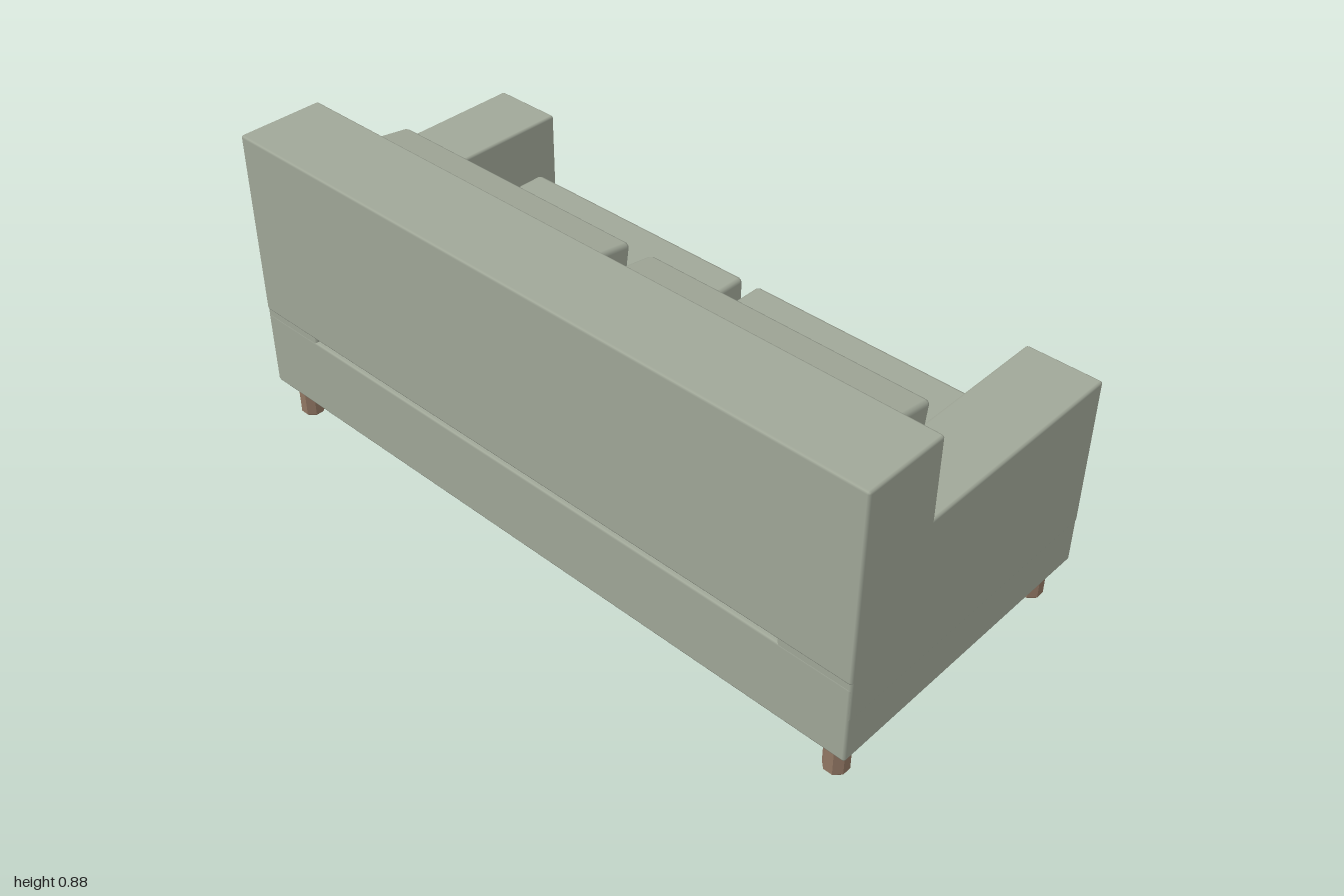
import * as THREE from 'three';
import { RoundedBoxGeometry } from 'three/addons/geometries/RoundedBoxGeometry.js';

export function createModel() {
  const sofa = new THREE.Group();
  sofa.name = 'sofa';

  const fabric = new THREE.MeshStandardMaterial({ color: 0xa0a798 });
  fabric.name = 'sage fabric';
  const wood = new THREE.MeshStandardMaterial({ color: 0x917763 });
  wood.name = 'brown wood';

  // Soft-edged box given by its min and max corners
  const block = (name, [x0, y0, z0], [x1, y1, z1], r = 0.007) => {
    const geo = new RoundedBoxGeometry(x1 - x0, y1 - y0, z1 - z0, 1, r);
    const mesh = new THREE.Mesh(geo, fabric);
    mesh.position.set((x0 + x1) / 2, (y0 + y1) / 2, (z0 + z1) / 2);
    mesh.name = name;
    sofa.add(mesh);
    return mesh;
  };

  // Frame: the seat opens towards -z, leaving a slit between base and backrest
  block('base', [-0.999, 0.11, -0.444], [0.999, 0.337, 0.444]);
  block('backrest', [-1, 0.349, 0.2], [1, 0.885, 0.445]);

  // Octagonal leg with chamfered ends
  const legProfile = [[0, 0], [0.026, 0], [0.033, 0.008], [0.033, 0.098], [0.026, 0.106], [0, 0.106]]
    .map(([x, y]) => new THREE.Vector2(x, y));
  const legGeo = new THREE.LatheGeometry(legProfile, 8, Math.PI / 8).toNonIndexed();
  legGeo.computeVertexNormals();

  for (const [side, s] of [['left', 1], ['right', -1]]) {
    const span = (a, b) => (s > 0 ? [a, b] : [-b, -a]);

    const [a0, a1] = span(0.793, 1);
    block(side + 'Arm', [a0, 0.235, -0.445], [a1, 0.66, 0.443]);

    const [c0, c1] = span(0.025, 0.793);
    block(side + 'SeatCushion', [c0, 0.35, -0.385], [c1, 0.495, 0.205], 0.012);

    // Back cushion tips forward and overlaps the arm
    const [b0, b1] = span(0.033, 0.852);
    const cushion = block(side + 'BackCushion', [b0, 0.45, 0.055], [b1, 0.81, 0.213], 0.012);
    cushion.position.y = 0.63;
    cushion.rotation.x = -0.146;

    for (const [end, z] of [['Front', -0.385], ['Rear', 0.385]]) {
      const leg = new THREE.Mesh(legGeo, wood);
      leg.name = side + end + 'Leg';
      leg.position.set(s * 0.938, 0, z);
      sofa.add(leg);
    }
  }
  return sofa;
}
